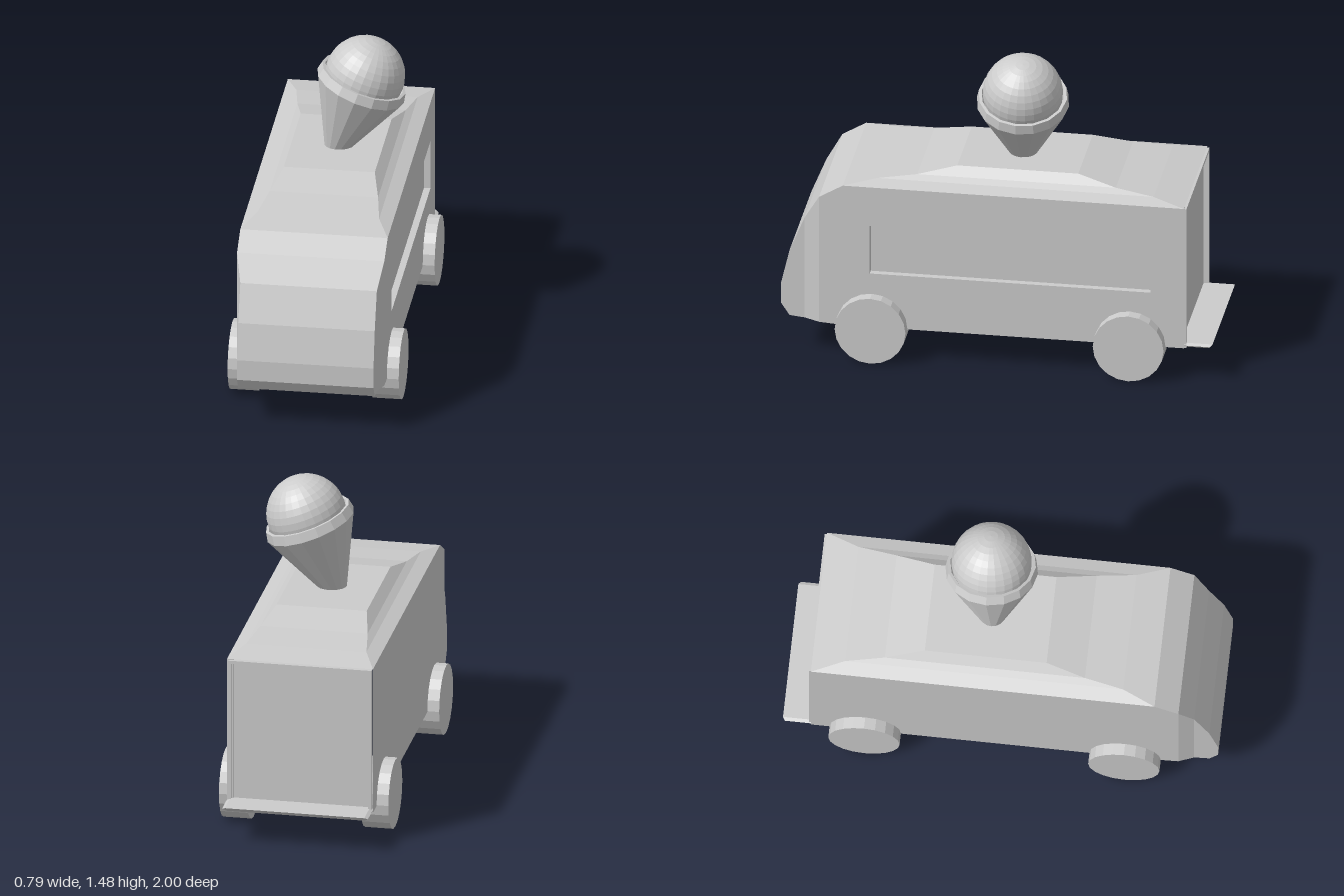
import * as THREE from 'three';

const material = new THREE.MeshStandardMaterial({ color: 0xcccccc, flatShading: true });

function add(parent, name, geometry, x = 0, y = 0, z = 0) {
  const mesh = new THREE.Mesh(geometry, material);
  mesh.name = name;
  mesh.position.set(x, y, z);
  parent.add(mesh);
  return mesh;
}

// Joins four-cornered rings into a skin and closes the last ring.
function loft(rings, skip = () => false) {
  const pos = [];
  const quad = (a, b, c, d) => pos.push(...a, ...b, ...c, ...a, ...c, ...d);
  for (let i = 0; i < rings.length - 1; i++) {
    for (let j = 0; j < 4; j++) {
      const k = (j + 1) % 4;
      if (!skip(i, j)) quad(rings[i][j], rings[i][k], rings[i + 1][k], rings[i + 1][j]);
    }
  }
  quad(...rings[rings.length - 1]);
  const g = new THREE.BufferGeometry();
  g.setAttribute('position', new THREE.Float32BufferAttribute(pos, 3));
  g.computeVertexNormals();
  return g;
}

function rectangle(Type, x0, y0, x1, y1) {
  return new Type().moveTo(x0, y0).lineTo(x1, y0).lineTo(x1, y1).lineTo(x0, y1).closePath();
}

// Rectangular plate with a rectangular opening.
function frame(outer, inner, depth) {
  const shape = rectangle(THREE.Shape, ...outer);
  shape.holes.push(rectangle(THREE.Path, ...inner));
  return new THREE.ExtrudeGeometry(shape, { depth, bevelEnabled: false });
}

export function createModel() {
  const van = new THREE.Group();
  van.name = 'van';

  // Body: sections along z as [z, half width, bottom, top]
  const sections = [
    [-0.87, 0.34, 0.16, 0.865], [0.71, 0.34, 0.16, 0.865], [0.82, 0.34, 0.168, 0.8],
    [0.89, 0.315, 0.173, 0.68], [0.96, 0.315, 0.18, 0.51], [1, 0.315, 0.24, 0.34],
  ];
  const bodyRings = sections.map(([z, w, b, t]) => [[-w, b, z], [w, b, z], [w, t, z], [-w, t, z]]);
  add(van, 'body', loft(bodyRings, (i, j) => i === 0 && j === 1));

  // Raised roof: rings upward as [half width, y, front z, back z]
  const roof = [
    [0.34, 0.865, 0.71, -0.87], [0.28, 0.887, 0.56, -0.72],
    [0.25, 0.906, 0.38, -0.54], [0.21, 0.945, 0.2, -0.36],
  ];
  add(van, 'roof', loft(roof.map(([w, y, f, b]) => [[-w, y, f], [w, y, f], [w, y, b], [-w, y, b]])));

  // Left wall with the sunken serving hatch
  const wall = frame([-0.71, 0.16, 0.87, 0.865], [-0.585, 0.43, 0.715, 0.67], 0.03);
  add(van, 'hatchWall', wall.rotateY(Math.PI / 2), 0.31);
  add(van, 'hatchPanel', new THREE.BoxGeometry(0.01, 0.26, 1.32), 0.305, 0.55, -0.065);

  // Rear frame around the sunken door
  add(van, 'rearFrame', frame([-0.335, 0.16, 0.335, 0.86], [-0.32, 0.18, 0.32, 0.845], 0.03), 0, 0, -0.88);
  add(van, 'rearDoor', new THREE.BoxGeometry(0.66, 0.68, 0.01), 0, 0.51, -0.85);

  // Rear step, undercut towards its lower edge
  const step = [[0.32, 0.16, -0.86, -0.975], [0.34, 0.174, -0.86, -0.99], [0.325, 0.182, -0.86, -1]];
  const stepRings = step.map(([w, y, f, b]) => [[-w, y, f], [w, y, f], [w, y, b], [-w, y, b]]);
  const stepMesh = add(van, 'rearStep', loft(stepRings));
  const underside = new THREE.PlaneGeometry(0.64, 0.115).rotateX(Math.PI / 2);
  add(stepMesh, 'rearStepUnderside', underside, 0, 0.16, -0.9175);

  // Wheels
  for (const side of [-1, 1]) {
    for (const [name, z] of [['frontWheel', 0.575], ['rearWheel', -0.62]]) {
      const wheel = new THREE.CylinderGeometry(0.164, 0.164, 0.13, 20).rotateZ(Math.PI / 2);
      add(van, name, wheel, side * 0.33, 0.164, z);
    }
  }

  // Leaning ice cream cone, its origin at the base of the rim
  const cone = new THREE.Group();
  cone.name = 'iceCream';
  cone.position.set(0.105, 1.24, -0.087);
  cone.rotation.set(-0.05, 0, -0.35);
  van.add(cone);
  const profile = [[0, -0.36], [0.042, -0.36], [0.213, 0], [0.204, 0.045], [0.19, 0.045], [0.172, 0], [0, 0]];
  add(cone, 'cone', new THREE.LatheGeometry(profile.map(([r, y]) => new THREE.Vector2(r, y)), 16));
  add(cone, 'scoop', new THREE.SphereGeometry(0.184, 28, 18), 0, 0.058, 0);

  return van;
}
